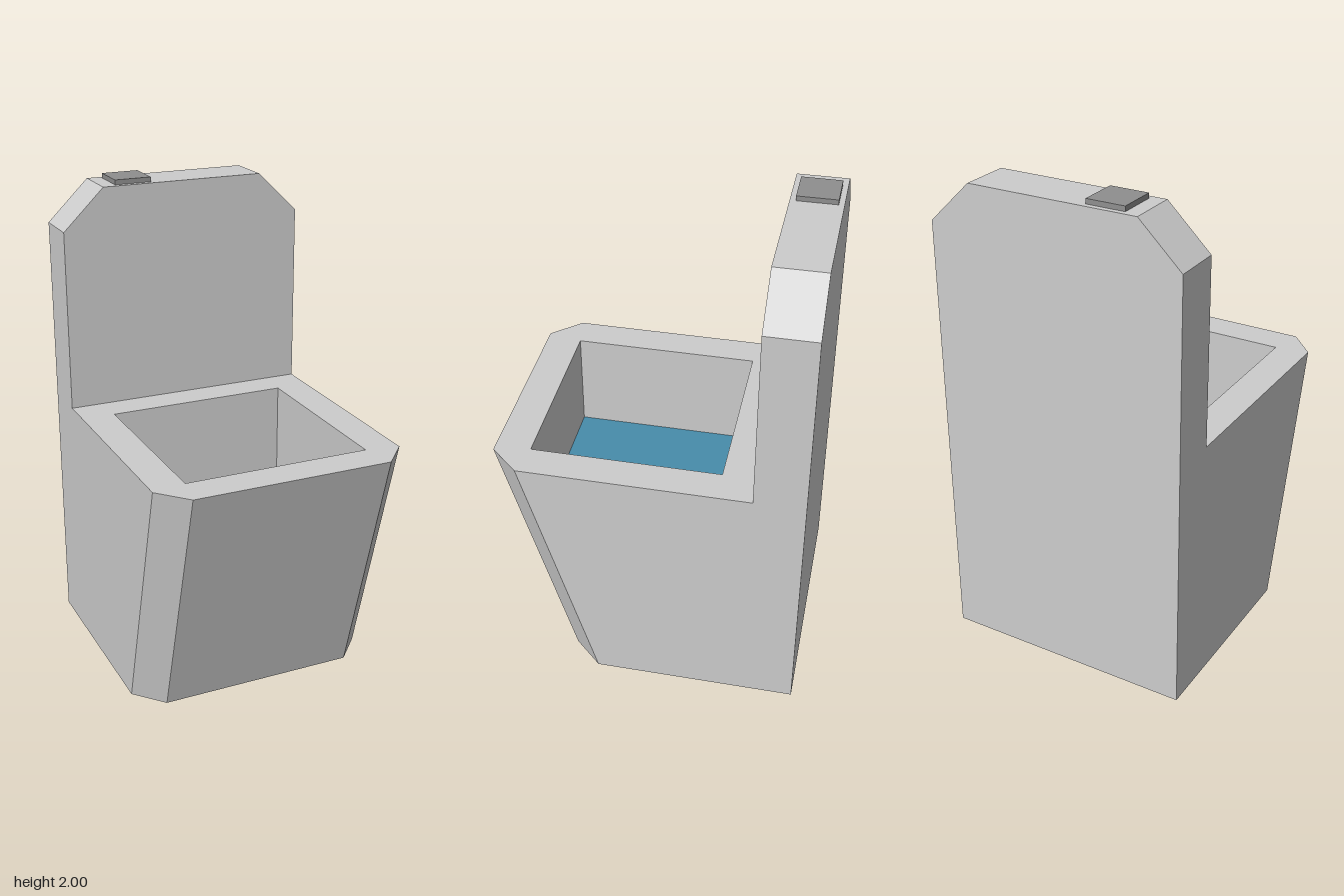
import * as THREE from 'three';

const porcelain = new THREE.MeshStandardMaterial({ name: 'porcelain grey', color: 0xcccccc });
const buttonGrey = new THREE.MeshStandardMaterial({ name: 'button grey', color: 0x8f8f8f });
const waterBlue = new THREE.MeshStandardMaterial({ name: 'water blue', color: 0x478cab });

const HALF = 0.525, RIM = 1.05, WATER = 0.62, TANK_FRONT = -0.425, BACK = -0.63;
const HOLE = { x: 0.385, back: -0.285, front: 0.485 };

const points = (list) => list.map(([x, y]) => new THREE.Vector2(x, y));

function part(name, geometry, material) {
  const mesh = new THREE.Mesh(geometry, material);
  mesh.name = name;
  return mesh;
}

// Slice of the bowl between two heights; its chamfered front leans outwards.
function bowlSlice(y0, y1, hollow) {
  const shape = new THREE.Shape(points([
    [-HALF, -TANK_FRONT], [-HALF, -0.51], [-0.415, -0.63],
    [0.415, -0.63], [HALF, -0.51], [HALF, -TANK_FRONT],
  ]));
  if (hollow) {
    shape.holes.push(new THREE.Path(points([
      [-HOLE.x, -HOLE.back], [HOLE.x, -HOLE.back], [HOLE.x, -HOLE.front], [-HOLE.x, -HOLE.front],
    ])));
  }
  const geometry = new THREE.ExtrudeGeometry(shape, { depth: y1 - y0, bevelEnabled: false });
  geometry.rotateX(-Math.PI / 2).translate(0, y0, 0);
  const pos = geometry.attributes.position;
  for (let i = 0; i < pos.count; i++) {
    const z = pos.getZ(i);
    if (z > 0.5) pos.setZ(i, z - 0.3 * (1 - pos.getY(i) / RIM));
  }
  geometry.computeVertexNormals();
  return geometry;
}

export function createModel() {
  const model = new THREE.Group();
  model.name = 'toilet';

  // Bowl: solid foot below the water, hollow rim above it
  model.add(part('bowlBase', bowlSlice(0, WATER, false), porcelain));
  model.add(part('bowlRim', bowlSlice(WATER, RIM, true), porcelain));

  // Water surface
  const water = new THREE.PlaneGeometry(HOLE.x * 2, HOLE.front - HOLE.back);
  water.rotateX(-Math.PI / 2).translate(0, WATER + 0.003, (HOLE.front + HOLE.back) / 2);
  model.add(part('water', water, waterBlue));

  // Tank: full-height back slab with cut upper corners
  const tankShape = new THREE.Shape(points([
    [-HALF, 0], [HALF, 0], [HALF, 1.81], [0.35, 1.98], [-0.35, 1.98], [-HALF, 1.81],
  ]));
  const tank = new THREE.ExtrudeGeometry(tankShape, { depth: TANK_FRONT - BACK, bevelEnabled: false });
  tank.translate(0, 0, BACK);
  model.add(part('tank', tank, porcelain));

  // Flush button
  const button = new THREE.BoxGeometry(0.157, 0.02, 0.16);
  button.translate(-0.212, 1.99, -0.528);
  model.add(part('flushButton', button, buttonGrey));

  return model;
}
